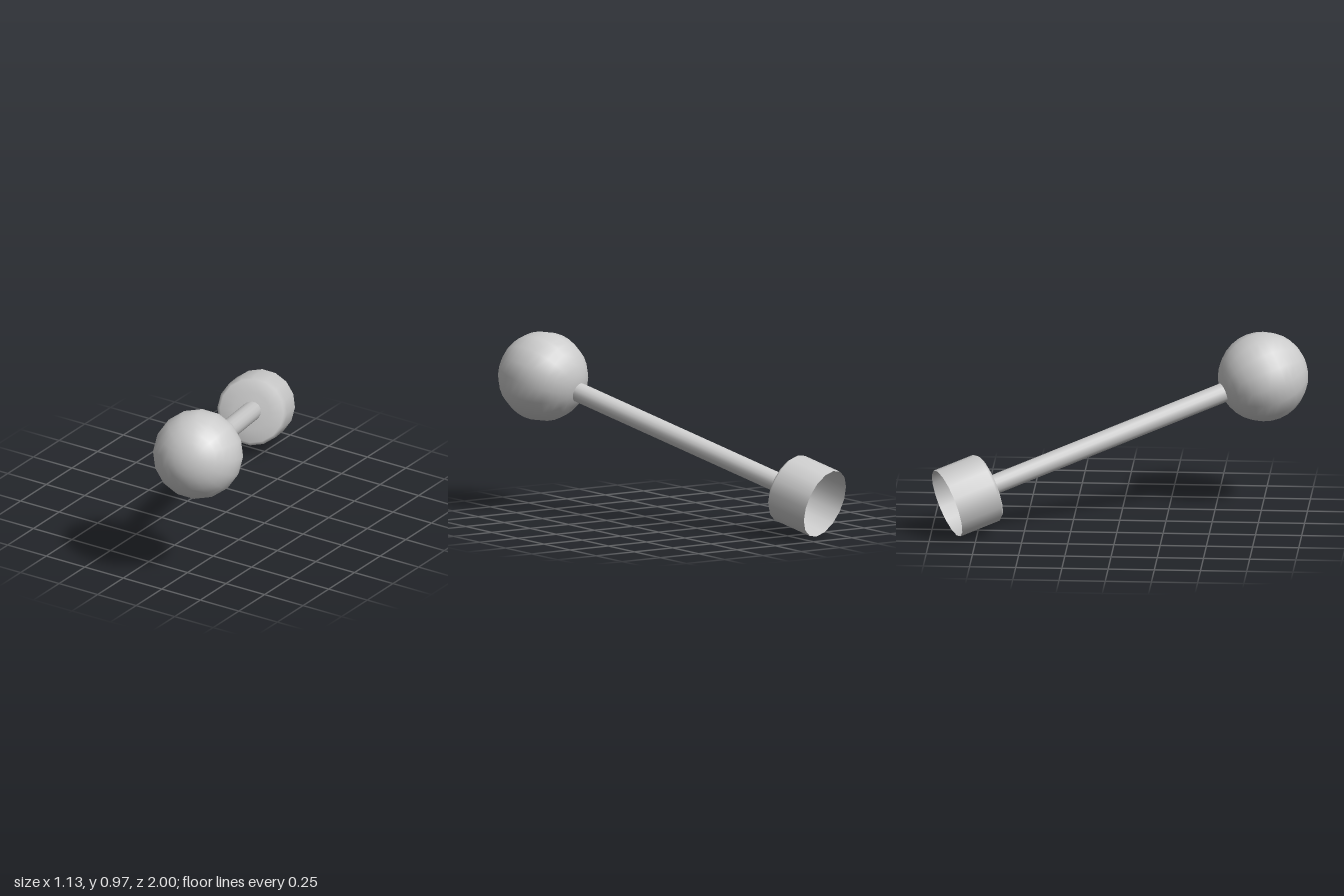
import * as THREE from 'three';

const grey = new THREE.MeshStandardMaterial({ color: 0xcccccc });
const greyThin = new THREE.MeshStandardMaterial({ color: 0xcccccc, side: THREE.DoubleSide });

function part(name, geometry, y, material = grey) {
  const mesh = new THREE.Mesh(geometry, material);
  mesh.name = name;
  mesh.position.y = y;
  return mesh;
}

export function createModel() {
  // Centre of the open cup rim and centre of the ball define the tilted axis
  const rim = new THREE.Vector3(-0.386, 0.187, -0.91);
  const ballCentre = new THREE.Vector3(0.322, 0.733, 0.755);
  const axis = ballCentre.clone().sub(rim);
  const length = axis.length();

  const pin = new THREE.Group();
  pin.name = 'pin';
  pin.position.copy(rim);
  pin.quaternion.setFromUnitVectors(new THREE.Vector3(0, 1, 0), axis.normalize());

  // Thin open cup with a softened edge and slightly domed end
  const profile = [[0.192, 0], [0.192, 0.235], [0.175, 0.252], [0.1, 0.264], [0, 0.268]]
    .map(([r, y]) => new THREE.Vector2(r, y));
  pin.add(part('cup', new THREE.LatheGeometry(profile, 16), 0, greyThin));

  // Rod from the cup's end into the ball
  const rodStart = 0.26, rodEnd = length - 0.2;
  pin.add(part('rod',
    new THREE.CylinderGeometry(0.053, 0.053, rodEnd - rodStart, 16),
    (rodStart + rodEnd) / 2));

  // Ball
  pin.add(part('ball', new THREE.SphereGeometry(0.244, 16, 16), length));

  const model = new THREE.Group();
  model.name = 'model';
  model.add(pin);
  return model;
}
